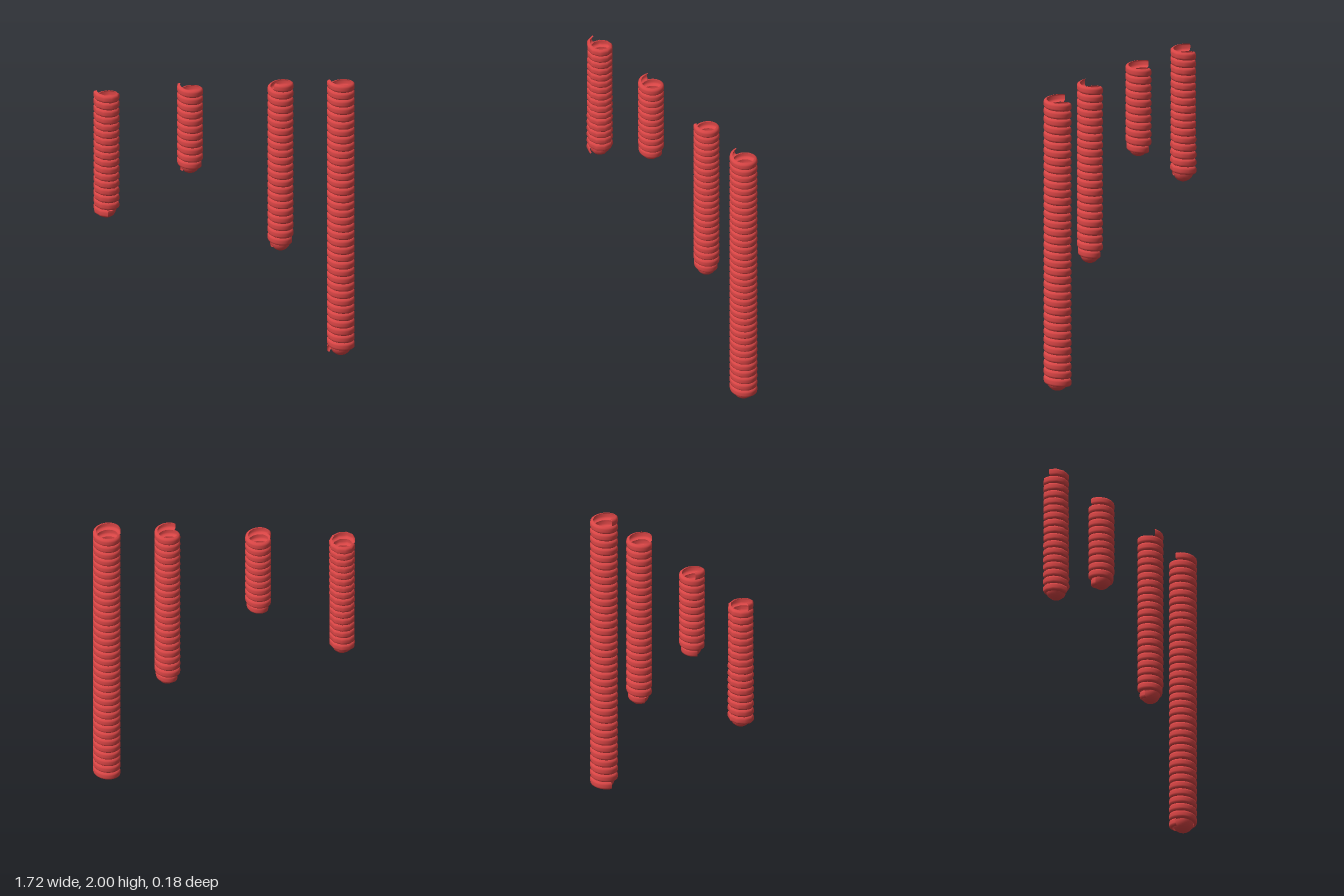
import * as THREE from 'three';

const red = new THREE.MeshStandardMaterial({ color: 0xd94545, side: THREE.DoubleSide });

// Cross-section of the coiled band: [inset from outer radius, height], a C open to the axis
const BAND = [[0.02, 0.026], [0.009, 0.024], [0.002, 0.018], [0, 0.009], [0, -0.009], [0.002, -0.018], [0.009, -0.024], [0.02, -0.026]];

// Thin band wound downwards; the last turn narrows by `taper`
function coilGeometry({ radius, top, end, turns, start, sides, taper }) {
  const steps = Math.round(turns * sides);
  const pos = [], index = [], n = BAND.length;
  for (let i = 0; i <= steps; i++) {
    const t = (i / steps) * turns;
    const a = start - t * Math.PI * 2;
    const r = radius - taper * Math.max(0, t - turns + 1);
    const y = top + (end - top) * (i / steps);
    for (const [inset, h] of BAND) pos.push(Math.cos(a) * (r - inset), y + h, Math.sin(a) * (r - inset));
    if (i === steps) continue;
    for (let j = 0; j < n - 1; j++) {
      const p = i * n + j, q = p + n;
      index.push(p, p + 1, q, p + 1, q + 1, q);
    }
  }
  const g = new THREE.BufferGeometry();
  g.setAttribute('position', new THREE.Float32BufferAttribute(pos, 3));
  g.setIndex(index);
  g.computeVertexNormals();
  return g;
}

// Rounded bowl closing the lower end
function bowlGeometry(radius, sides) {
  return new THREE.SphereGeometry(radius, sides, 12, 0, Math.PI * 2, Math.PI / 2, Math.PI / 2);
}

export function createModel() {
  const model = new THREE.Group();
  const L = Math.PI;
  const springs = [
    { name: 'rightOuterSpring', x: -0.775, radius: 0.086, top: 1.962, end: 1.125, turns: 16.25, start: L, sides: 10, taper: 0, tip: 1.072, bowl: 0.068 },
    { name: 'rightInnerSpring', x: -0.225, radius: 0.085, top: 1.976, end: 1.402, turns: 11.05, start: L + 0.35, sides: 36, taper: 0.018, tip: 1.365, bowl: 0.064 },
    { name: 'leftInnerSpring', x: 0.37, radius: 0.085, top: 1.976, end: 0.822, turns: 21.85, start: L - 0.94, sides: 36, taper: 0.018, tip: 0.775, bowl: 0.064 },
    { name: 'leftOuterSpring', x: 0.767, radius: 0.091, top: 1.962, end: 0.047, turns: 36, start: L, sides: 36, taper: 0, tip: 0, bowl: 0.07 },
  ];
  for (const s of springs) {
    const spring = new THREE.Group();
    spring.name = s.name;
    spring.position.x = s.x;
    const coil = new THREE.Mesh(coilGeometry(s), red);
    coil.name = 'coil';
    const tip = new THREE.Mesh(bowlGeometry(s.bowl, s.sides), red);
    tip.name = 'tip';
    tip.position.y = s.tip + s.bowl;
    spring.add(coil, tip);
    model.add(spring);
  }
  return model;
}
